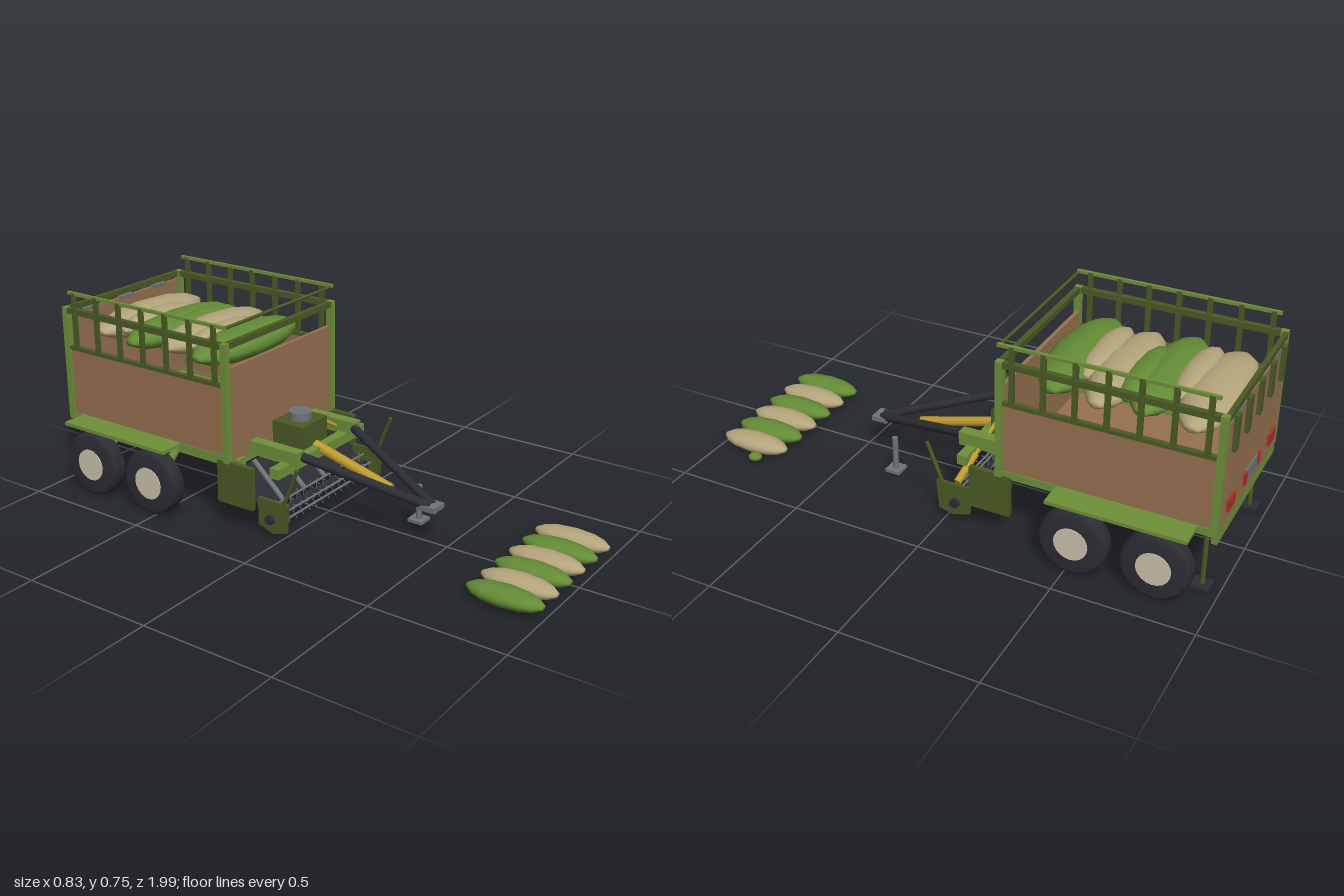
import * as THREE from 'three';

const mat = (name, color) => Object.assign(new THREE.MeshStandardMaterial({ color }), { name });
const M = {
  frame: mat('frame green', 0x6f913b), dark: mat('dark green', 0x4b5a25),
  board: mat('brown board', 0x97714f), rubber: mat('charcoal', 0x2d2d35),
  steel: mat('steel grey', 0x6c757a), yellow: mat('ram yellow', 0xc09c30),
  beige: mat('sack beige', 0xb5a57c), leaf: mat('sack green', 0x648c36),
  red: mat('lamp red', 0xa8302a), hub: mat('hub cream', 0xcdc5ae),
};

export function createModel() {
  const g = new THREE.Group();
  g.name = 'trailer';
  const add = (name, geo, m) => {
    const mesh = new THREE.Mesh(geo, m);
    mesh.name = name;
    g.add(mesh);
    return mesh;
  };
  // box from its limits on each axis
  const box = (name, m, x0, x1, y0, y1, z0, z1) => {
    const b = add(name, new THREE.BoxGeometry(x1 - x0, y1 - y0, z1 - z0), m);
    b.position.set((x0 + x1) / 2, (y0 + y1) / 2, (z0 + z1) / 2);
    return b;
  };
  // the same box on both sides
  const pair = (name, m, x0, x1, ...r) => {
    box(name + 'Left', m, x0, x1, ...r);
    box(name + 'Right', m, -x1, -x0, ...r);
  };
  // round bar between two points
  const rod = (name, m, a, b, r, sides = 10) => {
    const p = new THREE.Vector3(...a), q = new THREE.Vector3(...b), d = q.clone().sub(p);
    const c = add(name, new THREE.CylinderGeometry(r, r, d.length(), sides), m);
    c.position.copy(p).add(q).multiplyScalar(0.5);
    c.quaternion.setFromUnitVectors(new THREE.Vector3(0, 1, 0), d.normalize());
    return c;
  };

  // cargo box
  box('cargoFloor', M.board, -0.31, 0.31, 0.25, 0.262, -0.975, -0.215);
  box('frontBoard', M.board, -0.303, 0.303, 0.25, 0.595, -0.228, -0.213);
  box('tailgate', M.board, -0.305, 0.305, 0.262, 0.657, -0.986, -0.972);
  pair('sideBoard', M.board, 0.303, 0.316, 0.262, 0.532, -0.96, -0.22);
  pair('frontPost', M.frame, 0.302, 0.326, 0.25, 0.69, -0.23, -0.205);
  pair('rearPost', M.frame, 0.302, 0.326, 0.25, 0.69, -0.985, -0.96);
  pair('sideSill', M.frame, 0.3, 0.32, 0.25, 0.275, -0.96, -0.23);
  pair('middleRail', M.dark, 0.303, 0.322, 0.528, 0.542, -0.96, -0.23);
  pair('topRail', M.dark, 0.303, 0.324, 0.668, 0.69, -0.96, -0.23);
  box('frontTopRail', M.dark, -0.303, 0.303, 0.668, 0.69, -0.228, -0.208);
  box('rearTopRail', M.dark, -0.303, 0.303, 0.668, 0.69, -0.986, -0.97);
  for (let i = 0; i < 7; i++) {
    const z = -0.262 - i * 0.111;
    pair('slat', M.dark, 0.311, 0.323, 0.54, 0.75, z - 0.009, z + 0.009);
  }
  pair('upperRail', M.frame, 0.311, 0.322, 0.742, 0.754, -0.955, -0.21);
  rod('frontUpperRail', M.dark, [-0.305, 0.745, -0.215], [0.305, 0.745, -0.215], 0.006);

  // tailgate ribs, hooks and lamps
  for (let i = -2; i <= 2; i++)
    box('tailgateRib', M.dark, i * 0.125 - 0.015, i * 0.125 + 0.015, 0.54, 0.668, -1.0, -0.984);
  for (const x of [-0.19, 0, 0.19])
    box('tailgateHook', M.steel, x - 0.034, x + 0.034, 0.652, 0.664, -0.988, -0.964);
  pair('tailLamp', M.red, 0.187, 0.253, 0.308, 0.35, -0.995, -0.985);
  box('rearPlate', M.steel, -0.06, 0.06, 0.308, 0.35, -0.992, -0.985);
  pair('plateLamp', M.red, 0.06, 0.083, 0.308, 0.35, -0.995, -0.985);

  // chassis and fenders
  pair('chassisRail', M.frame, 0.235, 0.275, 0.213, 0.25, -0.98, -0.2);
  for (const z of [-0.235, -0.48, -0.72, -0.965])
    box('crossMember', M.frame, -0.235, 0.235, 0.215, 0.25, z - 0.015, z + 0.015);
  box('rearSill', M.frame, -0.31, 0.31, 0.215, 0.262, -0.985, -0.965);
  pair('fender', M.frame, 0.318, 0.415, 0.262, 0.275, -0.92, -0.43);

  // wheels with their stub arms
  for (const s of [-1, 1]) for (const z of [-0.523, -0.812]) {
    const tyre = [[0.06, -0.033], [0.108, -0.033], [0.122, -0.024], [0.122, 0.024], [0.108, 0.033], [0.06, 0.033]];
    const t = add('tyre', new THREE.LatheGeometry(tyre.map(p => new THREE.Vector2(...p)), 24), M.rubber);
    t.position.set(s * 0.368, 0.122, z);
    t.rotation.z = Math.PI / 2;
    rod('hub', M.hub, [s * 0.336, 0.122, z], [s * 0.404, 0.122, z], 0.061, 20);
    rod('stubArm', M.frame, [s * 0.26, 0.235, z + 0.03], [s * 0.335, 0.122, z], 0.016);
  }

  // support stands
  for (const x of [-0.255, 0.255]) {
    rod('rearStand', M.dark, [x, 0.01, -0.935], [x, 0.22, -0.935], 0.009);
    box('rearStandFoot', M.rubber, x - 0.03, x + 0.03, 0, 0.012, -0.967, -0.903);
  }
  rod('frontStand', M.steel, [0.12, 0.01, 0.31], [0.12, 0.142, 0.31], 0.011);
  box('frontStandFoot', M.steel, 0.09, 0.15, 0, 0.012, 0.28, 0.34);

  // drawbar and ram
  for (const s of [-1, 1])
    rod('drawbarArm', M.rubber, [s * 0.163, 0.273, -0.005], [s * 0.008, 0.14, 0.43], 0.017, 8);
  box('hitchPlate', M.steel, -0.034, 0.034, 0.128, 0.147, 0.4, 0.463);
  rod('drawbarRam', M.yellow, [0, 0.25, -0.065], [0, 0.16, 0.265], 0.019, 8);

  // gearbox and its carrier
  box('gearbox', M.dark, -0.076, 0.076, 0.235, 0.338, -0.2, -0.065);
  rod('gearboxCap', M.steel, [0, 0.335, -0.13], [0, 0.368, -0.13], 0.043, 16);
  pair('carrierBeam', M.frame, 0.155, 0.197, 0.245, 0.296, -0.21, 0);
  box('carrierCross', M.frame, -0.268, 0.268, 0.213, 0.251, -0.068, -0.03);

  // intake chute with steel strips
  const chute = (name, m, x, w, lift) => {
    const b = add(name, new THREE.BoxGeometry(w, 0.01, 0.18), m);
    b.rotation.x = 0.75;
    b.position.set(x, 0.155 + lift, -0.14 + lift);
  };
  chute('intakeChute', M.rubber, 0, 0.6, 0);
  for (const x of [-0.19, -0.063, 0.063, 0.19]) chute('chuteStrip', M.steel, x, 0.018, 0.005);

  // side shields and levers
  const shape = new THREE.Shape([[-0.035, 0.145], [0.095, 0.145], [0.095, 0.04], [0.03, 0.02], [-0.025, 0.035]]
    .map(p => new THREE.Vector2(...p)));
  for (const s of [-1, 1]) {
    const shield = add('reelShield', new THREE.ExtrudeGeometry(shape, { depth: 0.014, bevelEnabled: false }), M.dark);
    shield.rotation.y = Math.PI / 2;
    shield.position.x = s * 0.294 - 0.007;
    rod('lever', M.dark, [s * 0.294, 0.13, 0.01], [s * 0.294, 0.288, 0.072], 0.008, 6);
    rod('reelBearing', M.rubber, [s * 0.285, 0.075, -0.04], [s * 0.315, 0.075, -0.04], 0.018, 12);
  }
  pair('chuteShield', M.dark, 0.303, 0.322, 0.095, 0.255, -0.26, -0.105);

  // pickup reel with tines
  rod('reelShaft', M.rubber, [-0.29, 0.08, -0.045], [0.29, 0.08, -0.045], 0.013);
  for (let i = 0; i < 5; i++) {
    const a = i * Math.PI * 0.4 + 0.3, c = Math.cos(a), s = Math.sin(a);
    rod('reelBar', M.steel, [-0.285, 0.08 + 0.036 * s, -0.045 + 0.036 * c], [0.285, 0.08 + 0.036 * s, -0.045 + 0.036 * c], 0.0045, 6);
    for (let j = 0; j < 14; j++) {
      const x = -0.26 + j * 0.04;
      rod('tine', M.steel, [x, 0.08 + 0.012 * s, -0.045 + 0.012 * c], [x, 0.08 + 0.052 * s, -0.045 + 0.052 * c], 0.0018, 4);
    }
  }

  // lift ram on the left side
  rod('liftRamRod', M.yellow, [0.07, 0.323, -0.1], [0.23, 0.22, -0.07], 0.008, 8);
  rod('liftRam', M.yellow, [0.21, 0.232, -0.072], [0.312, 0.17, -0.055], 0.014, 8);

  // spindle-shaped sacks with blunt ends, lying along z
  const sack = (name, m, x, y, z, rx, ry, rz, turned) => {
    const prof = [[0, -1], [0.22, -1], [0.62, -0.8], [0.88, -0.5], [1, 0], [0.88, 0.5], [0.62, 0.8], [0.22, 1], [0, 1]];
    const geo = new THREE.LatheGeometry(prof.map(p => new THREE.Vector2(...p)), 16);
    geo.rotateX(Math.PI / 2);
    if (turned) geo.rotateY(Math.PI / 2);
    geo.scale(rx, ry, rz);
    geo.computeVertexNormals();
    add(name, geo, m).position.set(x, y, z);
  };
  for (let i = 0; i < 6; i++)
    sack('groundSack', i % 2 ? M.beige : M.leaf, -0.245 + i * 0.098, 0.036, 0.855, 0.055, 0.034, 0.136);
  sack('smallSack', M.leaf, 0.31, 0.018, 0.815, 0.024, 0.015, 0.026);
  sack('smallSack', M.leaf, 0.18, 0.012, 0.8, 0.024, 0.012, 0.026);

  // loaded sacks, lying across the box
  [[M.leaf, -0.01, -0.37, 0.275, 0.105], [M.beige, 0.015, -0.54, 0.27, 0.095],
    [M.leaf, -0.01, -0.685, 0.275, 0.095], [M.beige, 0.015, -0.86, 0.27, 0.105]]
    .forEach(([m, x, z, rx, rz]) => sack('loadSack', m, x, 0.595, z, rx, 0.058, rz, true));
  [[M.beige, -0.035, -0.45], [M.leaf, 0.04, -0.62], [M.beige, -0.035, -0.775]]
    .forEach(([m, x, z]) => sack('upperLoadSack', m, x, 0.61, z, 0.19, 0.045, 0.06, true));

  return g;
}
